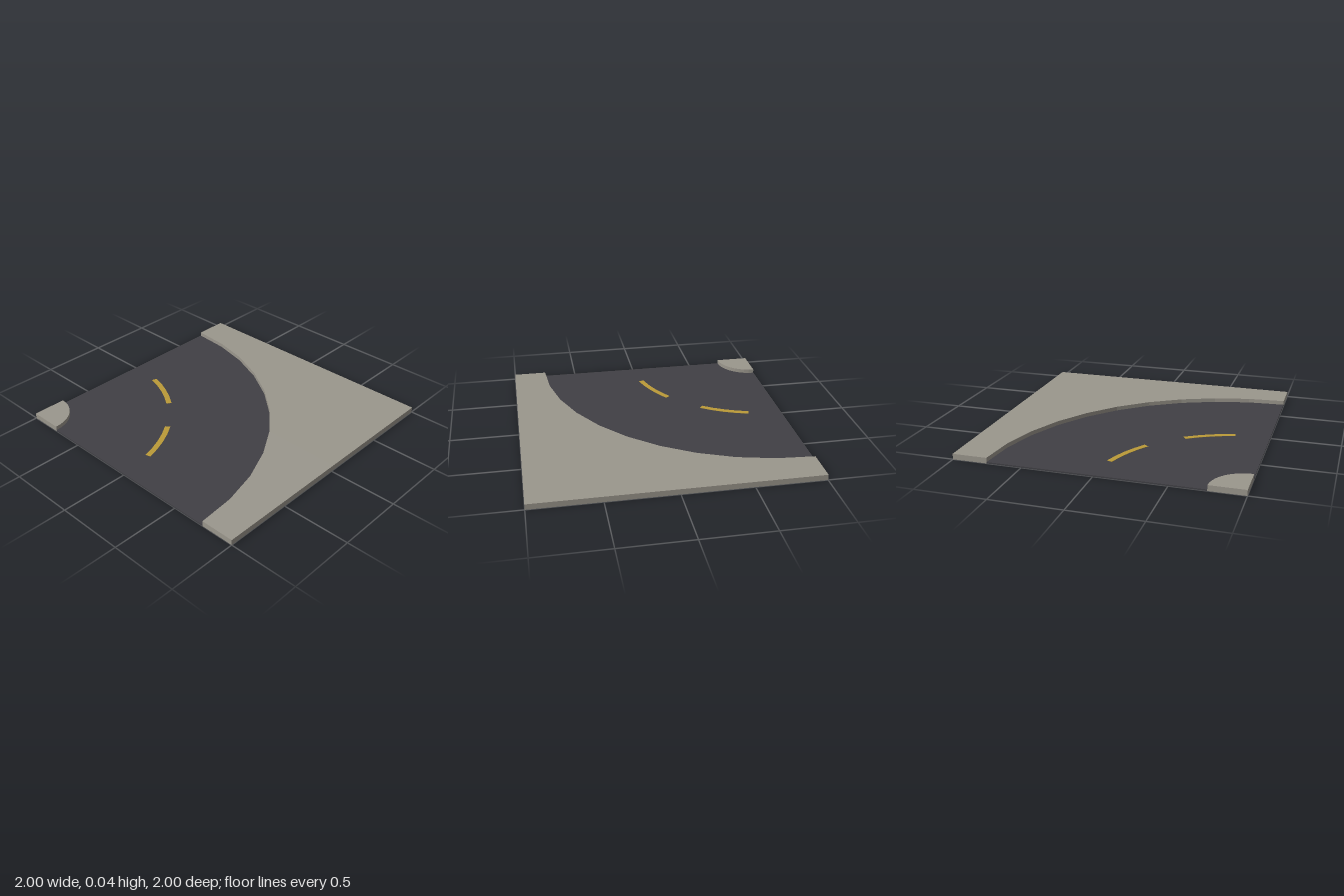
import * as THREE from 'three';

const SECTORS = 10;
const QUARTER = Math.PI / 2;
const CURB_HEIGHT = 0.04;
const ROAD_HEIGHT = 0.01;
const INNER_RADIUS = 0.25;
const OUTER_RADIUS = 1.75;

function flatMaterial(name, color) {
  const material = new THREE.MeshStandardMaterial({ color, side: THREE.DoubleSide });
  material.name = name;
  return material;
}

// Point at a radius and angle around the corner the bend turns about
const polar = (r, a, y) => [-1 + r * Math.sin(a), y, 1 - r * Math.cos(a)];

// Distance from that corner to the far sides of the square tile
const tileEdge = (a) => 2 / Math.max(Math.cos(a), Math.sin(a));

// Hollow ring slab, open below, with a rib between neighbouring sectors
function ringSlab({ inner, outer, from = 0, to = QUARTER, steps = SECTORS, base = 0, top,
  innerWall = true, outerWall = true, ribs = true }) {
  const positions = [];
  const quad = (a, b, c, d) => positions.push(...a, ...b, ...c, ...a, ...c, ...d);
  const wall = (r0, a0, r1, a1) =>
    quad(polar(r0, a0, base), polar(r1, a1, base), polar(r1, a1, top), polar(r0, a0, top));

  for (let i = 0; i < steps; i++) {
    const a = from + ((to - from) * i) / steps;
    const b = from + ((to - from) * (i + 1)) / steps;
    const outA = outer(a), outB = outer(b);
    if (inner > 0) {
      quad(polar(inner, a, top), polar(inner, b, top), polar(outB, b, top), polar(outA, a, top));
    } else {
      positions.push(...polar(0, a, top), ...polar(outB, b, top), ...polar(outA, a, top));
    }
    if (innerWall) wall(inner, a, inner, b);
    if (outerWall) wall(outB, b, outA, a);
    if (ribs || i === 0) wall(outA, a, inner, a);
    if (i === steps - 1) wall(inner, b, outB, b);
  }

  const geometry = new THREE.BufferGeometry();
  geometry.setAttribute('position', new THREE.Float32BufferAttribute(positions, 3));
  geometry.computeVertexNormals();
  return geometry;
}

export function createModel() {
  const model = new THREE.Group();
  model.name = 'roadBend';
  const concrete = flatMaterial('concrete', 0x9b978d);
  const asphalt = flatMaterial('asphalt', 0x414045);
  const yellowPaint = flatMaterial('yellowPaint', 0xbb9b38);

  const add = (name, geometry, material) => {
    const mesh = new THREE.Mesh(geometry, material);
    mesh.name = name;
    model.add(mesh);
  };

  // Pavement filling the outside of the bend
  add('outerPavement', ringSlab({
    inner: OUTER_RADIUS, outer: tileEdge, top: CURB_HEIGHT,
  }), concrete);

  // Small pavement wedge in the inside corner
  add('innerPavement', ringSlab({
    inner: 0, outer: () => INNER_RADIUS, top: CURB_HEIGHT, innerWall: false,
  }), concrete);

  // Road surface; the curbs close its curved sides
  add('road', ringSlab({
    inner: INNER_RADIUS, outer: () => OUTER_RADIUS, top: ROAD_HEIGHT,
    innerWall: false, outerWall: false,
  }), asphalt);

  // Two centre line dashes
  [0.16, 0.6].forEach((start, i) => {
    add(`centreDash${i + 1}`, ringSlab({
      inner: 0.98, outer: () => 1.02, from: start * QUARTER, to: (start + 0.24) * QUARTER,
      steps: 4, base: ROAD_HEIGHT, top: ROAD_HEIGHT + 0.002, ribs: false,
    }), yellowPaint);
  });

  return model;
}
